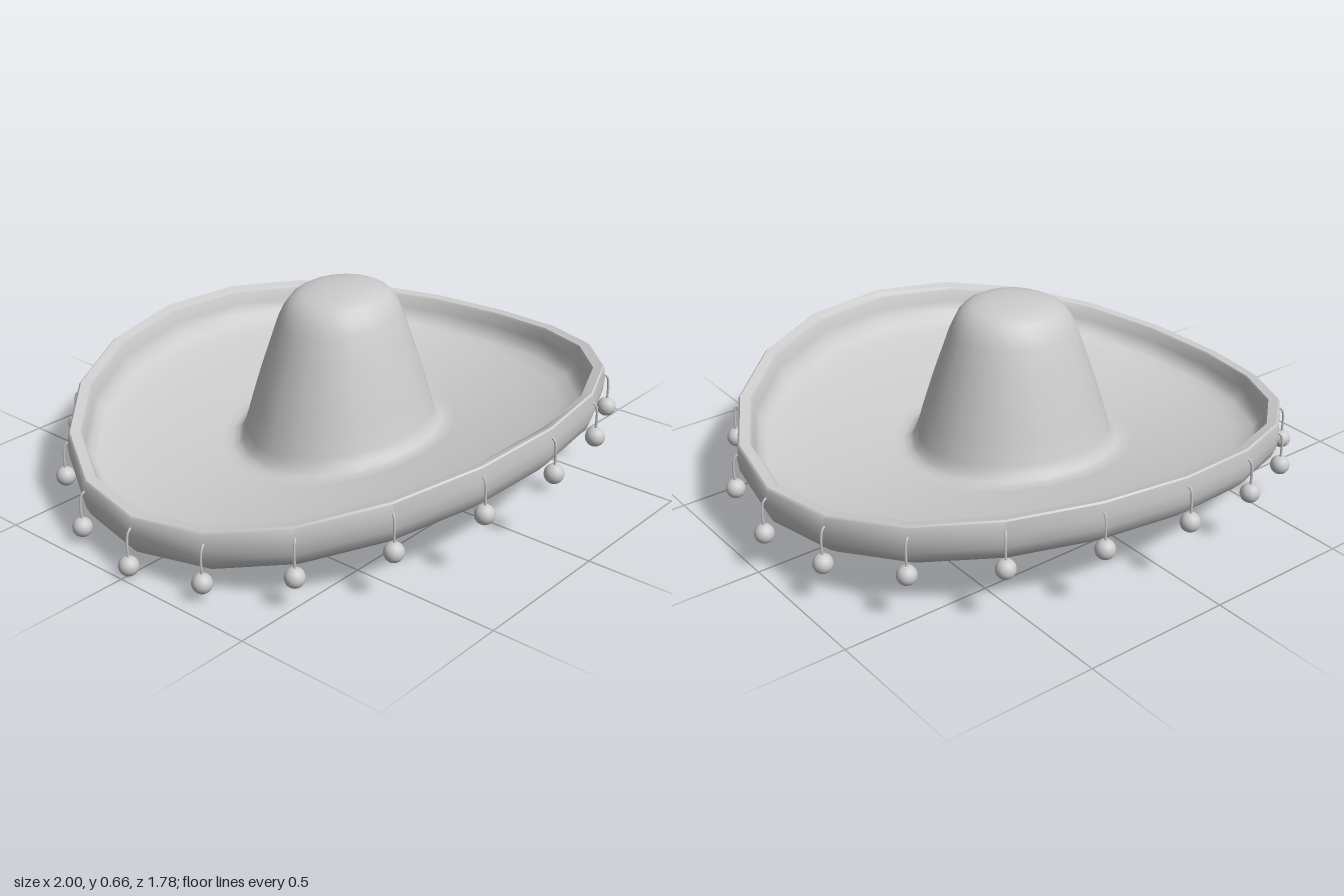
import * as THREE from 'three';
import { toCreasedNormals } from 'three/addons/utils/BufferGeometryUtils.js';

const SIDES = 20;     // facets of the brim, and number of tassels
const OVAL = 0.885;   // depth of the hat relative to its width

const material = new THREE.MeshStandardMaterial({ color: 0xcccccc });
const openMaterial = new THREE.MeshStandardMaterial({ color: 0xcccccc, side: THREE.DoubleSide });

// Sag of the hat: slight tilt, with front and back curled upwards
function bentY(x, y, z) {
  return y + 0.05 * x + 0.0175 * z + 0.15 * Math.pow(Math.abs(z) / 0.84, 1.9);
}

// Maps angle, radius and height to a point on the bent oval hat
function hatPoint(angle, r, y) {
  const x = r * Math.sin(angle), z = OVAL * r * Math.cos(angle);
  return new THREE.Vector3(x, bentY(x, y, z), z);
}

// Revolves a profile of [radius, height] pairs, then makes it oval and bends it
function bentLathe(name, profile, crease, mat) {
  const points = profile.map(([r, y]) => new THREE.Vector2(r, y));
  const geometry = new THREE.LatheGeometry(points, SIDES);
  const pos = geometry.attributes.position;
  for (let i = 0; i < pos.count; i++) {
    const x = pos.getX(i), z = pos.getZ(i) * OVAL;
    pos.setXYZ(i, x, bentY(x, pos.getY(i), z), z);
  }
  const mesh = new THREE.Mesh(toCreasedNormals(geometry, crease), mat);
  mesh.name = name;
  return mesh;
}

export function createModel() {
  const hat = new THREE.Group();
  hat.name = 'wideBrimmedHat';

  // Brim: closed underside, rounded outer wall, flat lip, hollow floor
  hat.add(bentLathe('brim', [
    [0, 0.085], [0.2, 0.085], [0.4, 0.085], [0.6, 0.085], [0.75, 0.085], [0.86, 0.087],
    [0.905, 0.095], [0.935, 0.115], [0.95, 0.145], [0.955, 0.185], [0.95, 0.232],
    [0.944, 0.238], [0.91, 0.238], [0.904, 0.23],
    [0.898, 0.19], [0.885, 0.158], [0.86, 0.14], [0.8, 0.133],
    [0.7, 0.13], [0.55, 0.13], [0.42, 0.13],
  ], 0.75, material));

  // Crown: flared foot, tapering sides, rounded top
  hat.add(bentLathe('crown', [
    [0.42, 0.13], [0.39, 0.131], [0.368, 0.138], [0.352, 0.155], [0.34, 0.185],
    [0.315, 0.27], [0.28, 0.38], [0.25, 0.465], [0.22, 0.55], [0.2, 0.59],
    [0.175, 0.62], [0.145, 0.637], [0.1, 0.648], [0.05, 0.654], [0, 0.656],
  ], 1.0, openMaterial));

  // Tassels: a thin cord hanging off the lip with a ball at its end
  const ballGeometry = new THREE.SphereGeometry(0.032, 16, 12);
  for (let i = 0; i < SIDES; i++) {
    const angle = (i / SIDES) * Math.PI * 2;
    const tassel = new THREE.Group();
    tassel.name = 'tassel';

    const path = new THREE.CatmullRomCurve3(
      [[0.945, 0.205], [0.962, 0.195], [0.969, 0.165], [0.968, 0.09]]
        .map(([r, y]) => hatPoint(angle, r, y)));
    const cord = new THREE.Mesh(new THREE.TubeGeometry(path, 10, 0.004, 6), openMaterial);
    cord.name = 'cord';

    const ball = new THREE.Mesh(ballGeometry, material);
    ball.name = 'ball';
    ball.position.copy(hatPoint(angle, 0.968, 0.082));

    tassel.add(cord, ball);
    hat.add(tassel);
  }
  return hat;
}
